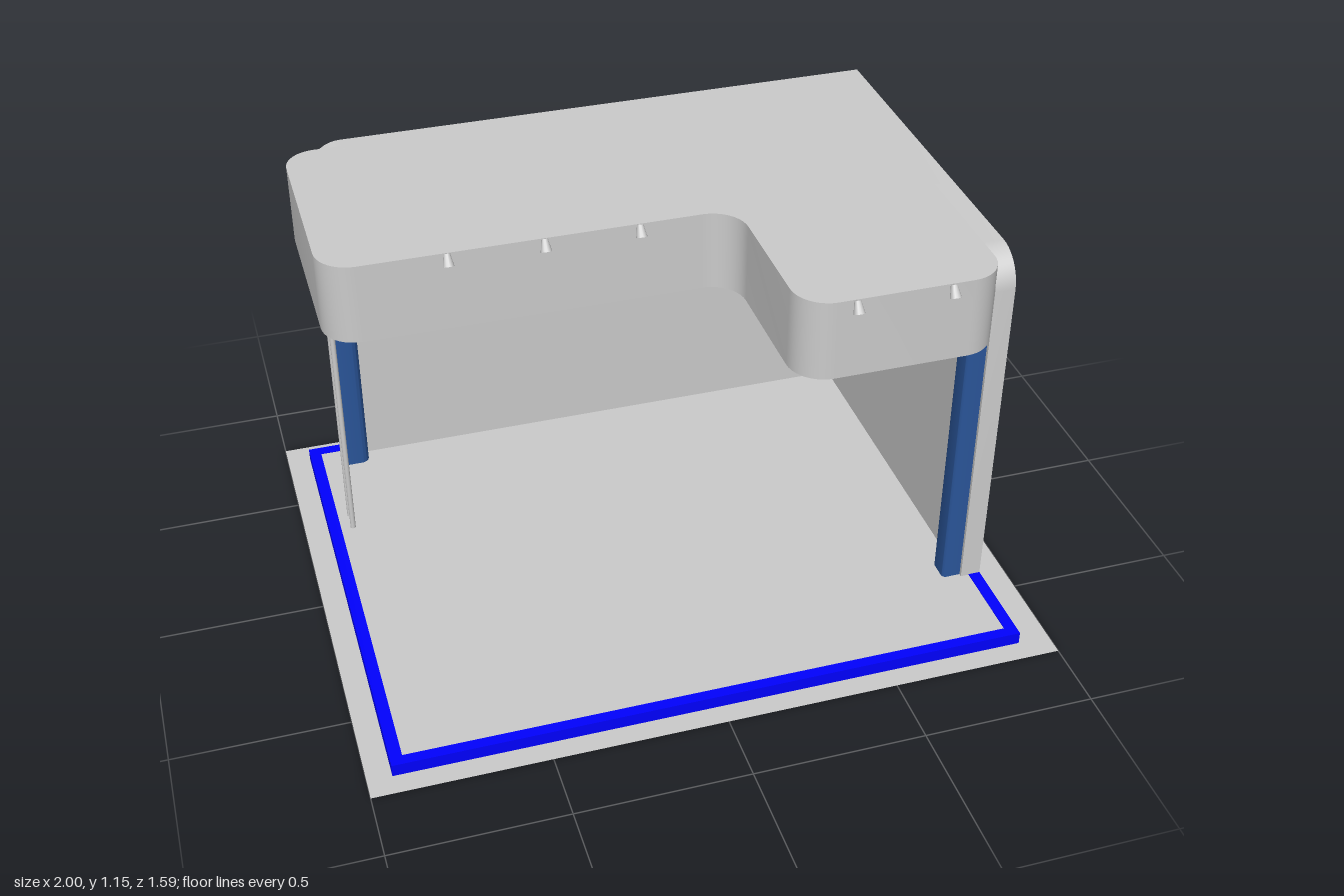
import * as THREE from 'three';
import { toCreasedNormals } from 'three/addons/utils/BufferGeometryUtils.js';

const grey = new THREE.MeshStandardMaterial({ color: 0xcccccc });
const greyThin = new THREE.MeshStandardMaterial({ color: 0xcccccc, side: THREE.DoubleSide });
const blue = new THREE.MeshStandardMaterial({ color: 0x0000ff });
const darkBlue = new THREE.MeshStandardMaterial({ color: 0x2a5599 });

const HEIGHT = 1.14, FLOOR = 0.036, SOFFIT = 0.9;

// Polygon whose corners [x, y, radius] are rounded with circular arcs
function roundedShape(corners) {
  const shape = new THREE.Shape();
  const n = corners.length;
  const K = 0.5523;
  corners.forEach(([x, y, r = 0], i) => {
    const c = new THREE.Vector2(x, y);
    const towards = ([px, py], d) => new THREE.Vector2(px, py).sub(c).setLength(d).add(c);
    const prev = corners[(i + n - 1) % n], next = corners[(i + 1) % n];
    const a = r ? towards(prev, r) : c;
    if (i === 0) shape.moveTo(a.x, a.y);
    else shape.lineTo(a.x, a.y);
    if (r) {
      const b = towards(next, r);
      const h1 = towards(prev, r * (1 - K)), h2 = towards(next, r * (1 - K));
      shape.bezierCurveTo(h1.x, h1.y, h2.x, h2.y, b.x, b.y);
    }
  });
  shape.closePath();
  return shape;
}

function extrude(shape, depth) {
  return new THREE.ExtrudeGeometry(shape, { depth, bevelEnabled: false, curveSegments: 10 });
}

// Extrudes a plan outline of [x, z, radius] corners upwards from y0 to y1
function planBlock(corners, y0, y1) {
  const g = extrude(roundedShape(corners.map(([x, z, r]) => [x, -z, r])), y1 - y0);
  g.rotateX(-Math.PI / 2).translate(0, y0, 0);
  return toCreasedNormals(g, 0.5);
}

export function createModel() {
  const model = new THREE.Group();
  model.name = 'exhibitionStand';
  const add = (name, geometry, material = grey, parent = model) => {
    const mesh = new THREE.Mesh(geometry, material);
    mesh.name = name;
    parent.add(mesh);
    return mesh;
  };
  const box = (x0, x1, y0, y1, z0, z1) =>
    new THREE.BoxGeometry(x1 - x0, y1 - y0, z1 - z0)
      .translate((x0 + x1) / 2, (y0 + y1) / 2, (z0 + z1) / 2);

  // Ground sheet, raised floor and its blue edging
  add('groundSheet', new THREE.PlaneGeometry(2, 1.59).rotateX(-Math.PI / 2), greyThin);
  add('floor', box(-0.895, 0.87, 0.002, FLOOR, -0.7, 0.7));
  const edging = new THREE.Group();
  edging.name = 'floorEdging';
  model.add(edging);
  add('frontEdging', box(-0.93, 0.905, 0, 0.038, 0.7, 0.732), blue, edging);
  add('rightEdging', box(-0.93, -0.895, 0, 0.038, -0.73, 0.7), blue, edging);
  add('leftEdging', box(0.87, 0.905, 0, 0.038, 0.445, 0.7), blue, edging);
  add('backEdging', box(-0.895, -0.83, 0, 0.038, -0.73, -0.697), blue, edging);

  // Two walls meeting at the back, each with its free top corner rounded
  const backWall = extrude(roundedShape([
    [-0.83, 0], [0.905, 0], [0.905, HEIGHT], [-0.83, HEIGHT, 0.1],
  ]), 0.06).translate(0, 0, -0.73);
  add('backWall', toCreasedNormals(backWall, 0.5));
  const sideWall = extrude(roundedShape([
    [-0.45, 0], [0.73, 0], [0.73, HEIGHT], [-0.45, HEIGHT, 0.1],
  ]), 0.06).rotateY(Math.PI / 2).translate(0.845, 0, 0);
  add('sideWall', toCreasedNormals(sideWall, 0.5));

  // L-shaped canopy with rounded corners
  add('canopy', planBlock([
    [-0.905, -0.69, 0.09], [-0.905, -0.01, 0.1], [0.263, -0.01, 0.1],
    [0.263, 0.52, 0.1], [0.846, 0.52, 0.1], [0.846, -0.69],
  ], SOFFIT, HEIGHT));

  // Blue pillars against the free ends of the walls
  add('backPillar', planBlock([
    [-0.83, -0.67], [-0.83, -0.615, 0.012], [-0.75, -0.615, 0.025], [-0.75, -0.67],
  ], FLOOR, SOFFIT), darkBlue);
  add('sidePillar', planBlock([
    [0.845, 0.36], [0.79, 0.36, 0.025], [0.79, 0.44, 0.012], [0.845, 0.44],
  ], FLOOR, SOFFIT), darkBlue);

  // Pair of slim poles under the open end of the canopy
  for (const z of [-0.3, -0.36]) {
    const h = SOFFIT - FLOOR;
    add('pole', new THREE.CylinderGeometry(0.008, 0.008, h, 16)
      .translate(-0.858, FLOOR + h / 2, z));
  }

  // Spotlights leaning out from the canopy's front edges
  const spotlight = (x, z) => {
    const spot = new THREE.Group();
    spot.name = 'spotlight';
    spot.position.set(x, 1.128, z);
    const head = add('spotlightHead', new THREE.CylinderGeometry(0.009, 0.016, 0.036, 14), grey, spot);
    head.position.z = 0.018;
    head.rotation.x = -0.5;
    add('spotlightArm', new THREE.BoxGeometry(0.008, 0.008, 0.024), grey, spot).position.z = 0.006;
    model.add(spot);
  };
  for (const x of [-0.56, -0.29, -0.02]) spotlight(x, -0.01);
  for (const x of [0.41, 0.68]) spotlight(x, 0.52);

  // Recessed lamps under the canopy
  const lamp = (x, z) => add('ceilingLamp',
    new THREE.CylinderGeometry(0.032, 0.03, 0.01, 20).translate(x, SOFFIT - 0.003, z));
  for (const x of [-0.62, -0.31, 0, 0.31, 0.62]) {
    for (const z of [-0.45, -0.15]) lamp(x, z);
  }
  for (const x of [0.34, 0.62]) lamp(x, 0.4);

  return model;
}
